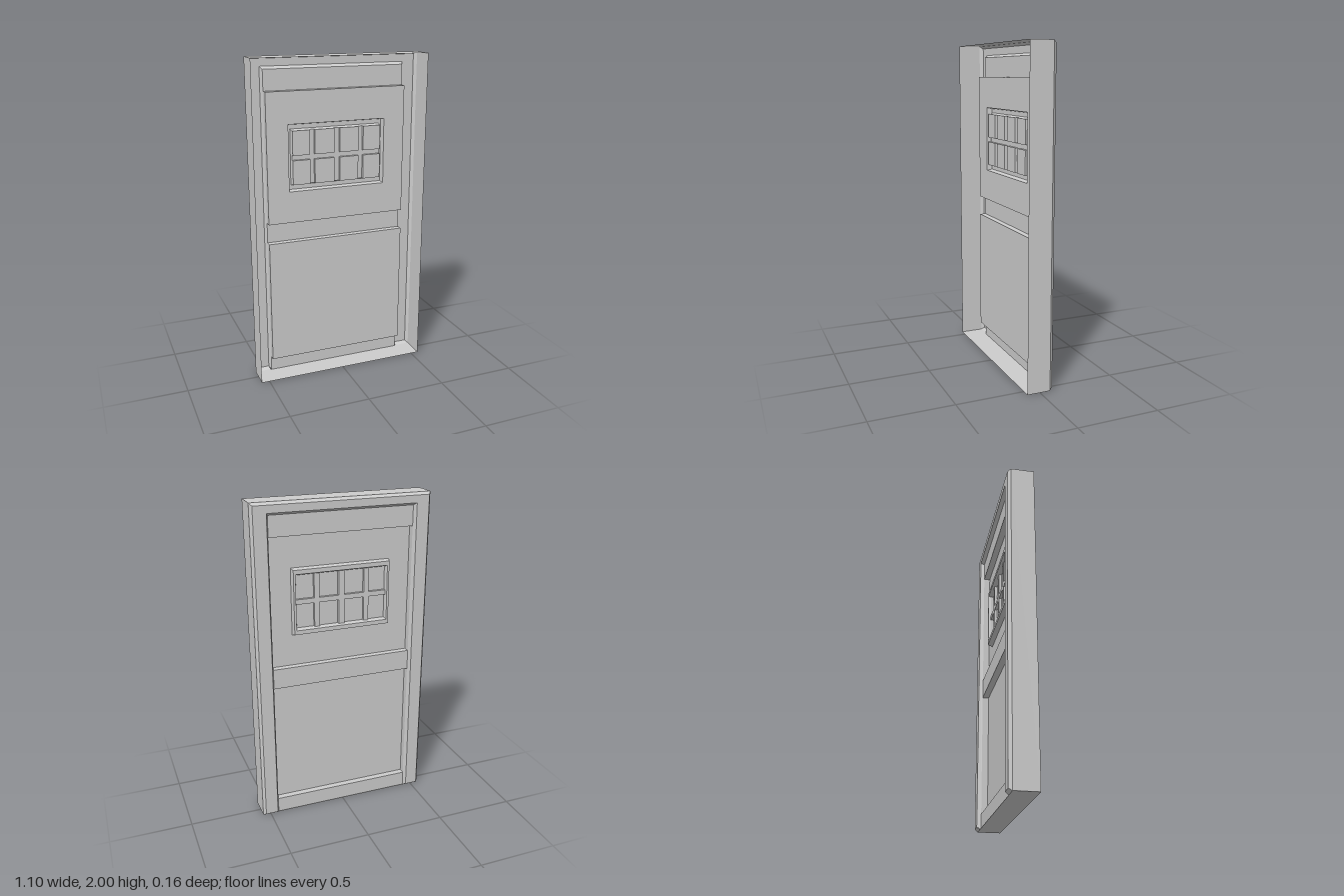
import * as THREE from 'three';

const grey = new THREE.MeshStandardMaterial({ color: 0xcccccc, flatShading: true, side: THREE.DoubleSide });

// Corners of a rectangle at depth z
const rect = (x0, x1, y0, y1, z) => [[x0, y0, z], [x0, y1, z], [x1, y1, z], [x1, y0, z]];
const centred = (hx, y0, y1, z) => rect(-hx, hx, y0, y1, z);

// Folded sheet joining successive four-point sections; optionally closed round and capped
function sheet(name, sections, { closed = true, cap = false } = {}) {
  const pos = [];
  const quad = (a, b, c, d) => pos.push(...a, ...b, ...c, ...a, ...c, ...d);
  for (let s = 0; s + 1 < sections.length; s++) {
    const a = sections[s], b = sections[s + 1];
    for (let i = 0; i < (closed ? 4 : 3); i++) {
      const j = (i + 1) % 4;
      quad(a[i], a[j], b[j], b[i]);
    }
  }
  if (cap) quad(...sections[sections.length - 1]);
  const g = new THREE.BufferGeometry();
  g.setAttribute('position', new THREE.Float32BufferAttribute(pos, 3));
  g.computeVertexNormals();
  const mesh = new THREE.Mesh(g, grey);
  mesh.name = name;
  return mesh;
}
const flat = (name, ...r) => sheet(name, [rect(...r)], { cap: true });

// Depth levels: front rim, casing face, rails, panels, window rim, glazing bars
const FRONT = 0.08, SIDE = -0.065, BACK = -0.085, RAIL = -0.06, PANEL = -0.02, RIM = -0.053, BAR = -0.038;

function createFrame() {
  const frame = new THREE.Group();
  frame.name = 'doorFrame';
  // Outer wall, bevel, casing face and slanted jamb, open at the foot
  frame.add(sheet('casing', [
    centred(0.55, 0, 2, FRONT),
    centred(0.55, 0, 2, SIDE),
    centred(0.535, 0.015, 1.985, BACK),
    centred(0.457, 0.015, 1.94, BACK),
    centred(0.445, 0, 1.925, RAIL),
  ], { closed: false }));
  // Floor plate
  frame.add(sheet('sill', [[[-0.55, 0, SIDE], [-0.55, 0, FRONT], [0.55, 0, FRONT], [0.55, 0, SIDE]]], { cap: true }));
  // Bevels under the two legs
  for (const s of [-1, 1]) {
    frame.add(sheet('footBevel', [[
      [s * 0.55, 0, SIDE], [s * 0.45, 0, SIDE], [s * 0.457, 0.015, BACK], [s * 0.535, 0.015, BACK],
    ]], { cap: true }));
  }
  return frame;
}

function createWindow() {
  const win = new THREE.Group();
  win.name = 'window';
  // Rim standing out on the back
  win.add(sheet('windowRim', [
    centred(0.31, 1.195, 1.605, PANEL),
    centred(0.303, 1.202, 1.598, RIM),
    centred(0.29, 1.228, 1.572, RIM),
    centred(0.285, 1.235, 1.565, BAR),
  ]));
  // Panes, with glazing bars between them
  const columns = [[-0.285, -0.175], [-0.144, -0.018], [0.018, 0.14], [0.172, 0.285]];
  const rows = [[1.235, 1.385], [1.415, 1.565]];
  for (const [y0, y1] of rows) {
    columns.forEach(([x0, x1], i) => {
      win.add(sheet('pane', [rect(x0, x1, y0, y1, BAR), rect(x0, x1, y0, y1, PANEL)], { cap: true }));
      if (i < 3) win.add(flat('verticalBar', x1, columns[i + 1][0], y0, y1, BAR));
    });
  }
  win.add(flat('horizontalBar', -0.285, 0.285, 1.385, 1.415, BAR));
  return win;
}

function createDoor() {
  const door = new THREE.Group();
  door.name = 'door';
  // Rails pressed toward the back
  for (const [name, y0, y1] of [['bottomRail', 0, 0.095], ['middleRail', 0.875, 1], ['topRail', 1.8, 1.925]]) {
    door.add(flat(name, -0.445, 0.445, y0, y1, RAIL));
  }
  // Raised panels, the upper one open for the window
  door.add(sheet('lowerPanel', [centred(0.445, 0.095, 0.875, RAIL), centred(0.445, 0.095, 0.875, PANEL)], { cap: true }));
  door.add(sheet('upperPanel', [
    centred(0.445, 1, 1.8, RAIL),
    centred(0.445, 1, 1.8, PANEL),
    centred(0.31, 1.195, 1.605, PANEL),
  ]));
  door.add(createWindow());
  return door;
}

export function createModel() {
  const model = new THREE.Group();
  model.name = 'doorway';
  model.add(createFrame(), createDoor());
  return model;
}
